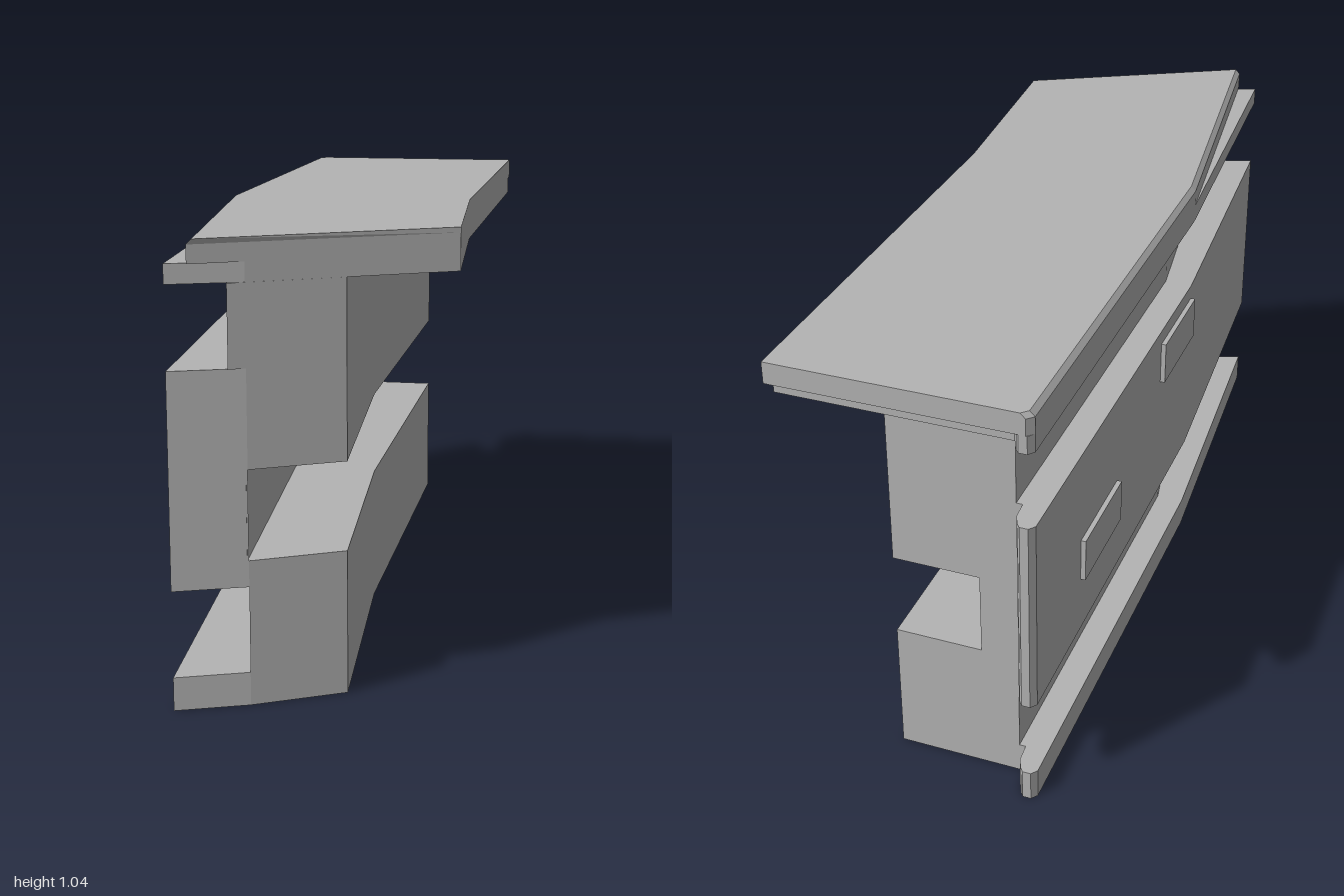
import * as THREE from 'three';

const BEND = 0.16; // z where the straight run starts to angle inward

// right-hand front corner: angled side meeting the diagonal front cut
function frontRight(xr) {
  const x = (xr + 0.0529) / 1.039;
  return [x, 0.887 - 0.537 * x];
}

// upright prism from a plan outline of [x, z] points
function prism(points, y0, y1) {
  const shape = new THREE.Shape(points.map(([x, z]) => new THREE.Vector2(x, -z)));
  const geo = new THREE.ExtrudeGeometry(shape, { depth: y1 - y0, bevelEnabled: false });
  geo.rotateX(-Math.PI / 2);
  geo.translate(0, y0, 0);
  return geo;
}

// plan outline: back edge and nose, left side, front cut, right side
function outline(back, left, front, xr) {
  return [...back, [left, BEND], ...front, frontRight(xr), [xr, BEND]];
}

export function createModel() {
  const group = new THREE.Group();
  const grey = new THREE.MeshStandardMaterial({ color: 0xb4b4b4 });
  grey.name = 'plain grey';

  const add = (name, geo) => {
    const mesh = new THREE.Mesh(geo, grey);
    mesh.name = name;
    group.add(mesh);
  };

  // outer layers end in a small rounded nose at the back left
  const nosed = (xr, zBack) => outline(
    [[xr, zBack], [-0.265, zBack], [-0.268, -0.965], [-0.28, -0.99], [-0.288, -1],
      [-0.308, -1], [-0.32, -0.985]],
    -0.32, [[-0.26, 1], [-0.1, 0.94]], xr);
  // set-back layers have a plain back end
  const neck = (xf, zf) => outline([[0.05, -0.92], [-0.25, -0.92]], -0.25, [[xf, zf]], 0.05);

  // body layers from the floor up
  add('base', prism(nosed(0.05, -0.92), 0, 0.077));
  add('lowerNeck', prism(neck(-0.1, 0.94), 0.077, 0.275));
  add('panelLower', prism(nosed(0.05, -0.92), 0.275, 0.335));
  add('panelRecess', prism(nosed(-0.16, -0.92), 0.335, 0.54));
  add('panelUpper', prism(nosed(0.05, -0.92), 0.54, 0.763));
  add('upperNeck', prism(neck(-0.135, 0.96), 0.763, 0.948));
  add('topTrim', prism(nosed(0.29, -0.96), 0.948, 0.992));

  // top slab with its upper left edge chamfered
  const slab = prism(
    outline([[0.29, -1], [-0.305, -1], [-0.32, -0.985]], -0.32, [[-0.21, 1]], 0.29),
    0.992, 1.033);
  add('topSlab', slab);
  const cap = prism(
    outline([[0.29, -1], [-0.305, -1], [-0.32, -0.985]], -0.32, [[-0.21, 1]], 0.29),
    1.033, 1.045);
  const p = cap.attributes.position;
  for (let i = 0; i < p.count; i++) {
    if (p.getY(i) > 1.04 && p.getX(i) < -0.15) p.setX(i, p.getX(i) + 0.012);
  }
  cap.computeVertexNormals();
  add('topSlabEdge', cap);

  // raised plates on the outer face
  for (const [y, z] of [[0.475, -0.57], [0.67, 0.03]]) {
    const plate = new THREE.BoxGeometry(0.02, 0.11, 0.26);
    plate.translate(-0.322, y, z);
    add('facePlate', plate);
  }
  return group;
}
